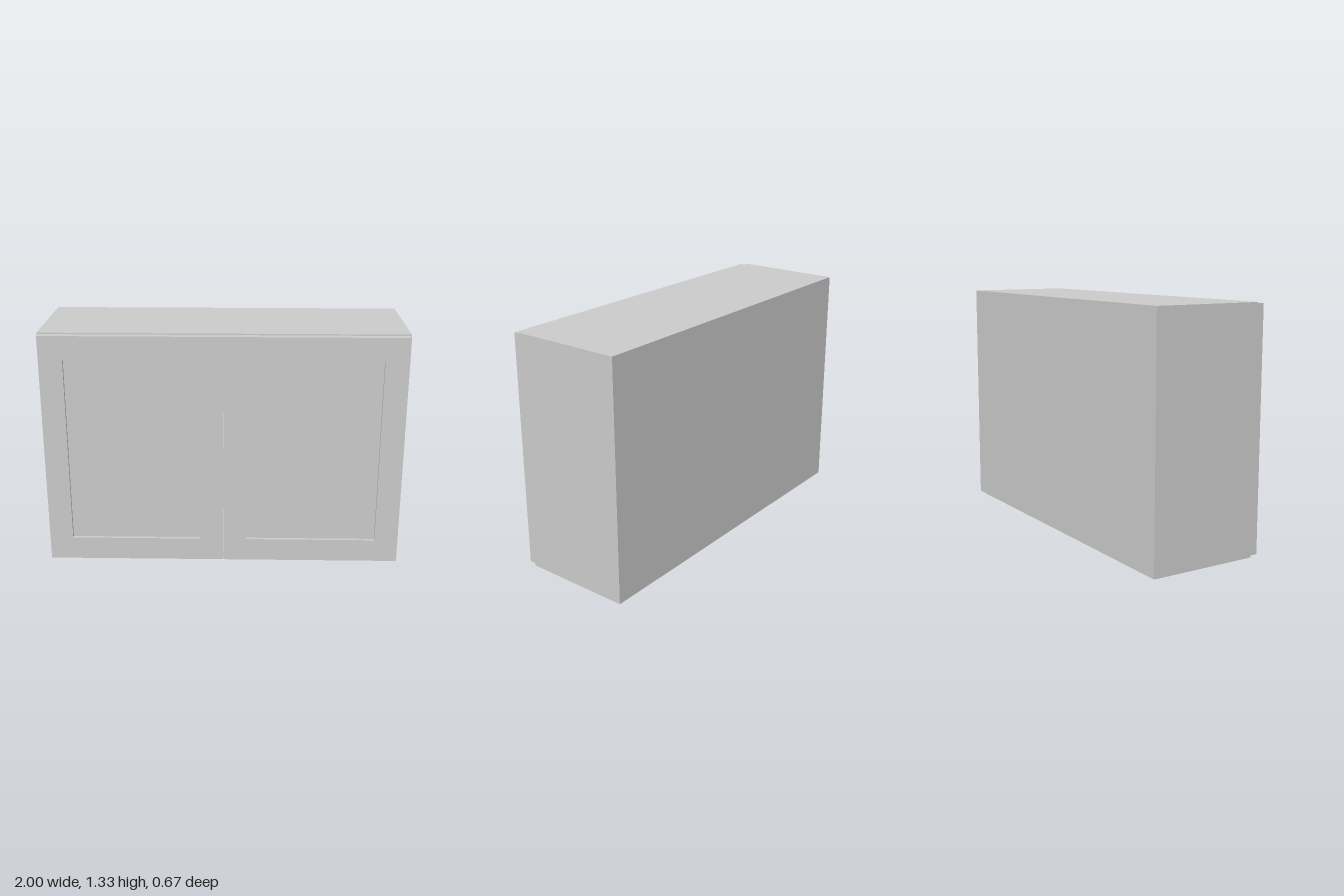
import * as THREE from 'three';

const W = 2, H = 1.333, T = 0.037;      // cabinet size and board thickness
const BACK = -0.333, BODY_FRONT = 0.288, DOOR_BACK = 0.291, FRONT = 0.333;

const material = new THREE.MeshStandardMaterial({ color: 0xcccccc });

// Board given by its lower and upper corner
function board(name, [x0, y0, z0], [x1, y1, z1]) {
  const mesh = new THREE.Mesh(new THREE.BoxGeometry(x1 - x0, y1 - y0, z1 - z0), material);
  mesh.position.set((x0 + x1) / 2, (y0 + y1) / 2, (z0 + z1) / 2);
  mesh.name = name;
  return mesh;
}

function rectangle(Type, x0, y0, x1, y1) {
  return new Type([[x0, y0], [x1, y0], [x1, y1], [x0, y1]].map(([x, y]) => new THREE.Vector2(x, y)));
}

// Door: a frame around a recessed flat panel
function door(name, mirror) {
  const group = new THREE.Group();
  group.name = name;
  const [x0, x1] = mirror ? [-0.993, -0.002] : [0.002, 0.993];
  const y0 = 0.008, y1 = 1.326, rail = 0.131, recess = 0.018;

  const outline = rectangle(THREE.Shape, x0, y0, x1, y1);
  outline.holes.push(rectangle(THREE.Path, x0 + rail, y0 + rail, x1 - rail, y1 - rail));
  const frame = new THREE.Mesh(
    new THREE.ExtrudeGeometry(outline, { depth: FRONT - DOOR_BACK, bevelEnabled: false }), material);
  frame.position.z = DOOR_BACK;
  frame.name = 'doorFrame';

  const panel = board('doorPanel', [x0 + rail, y0 + rail, DOOR_BACK + 0.008],
    [x1 - rail, y1 - rail, FRONT - recess]);
  group.add(frame, panel);
  return group;
}

export function createModel() {
  const model = new THREE.Group();
  model.name = 'wallCabinet';
  const inner = W / 2 - T;

  // Carcass
  model.add(
    board('leftSide', [inner, 0, BACK], [W / 2, H, BODY_FRONT]),
    board('rightSide', [-W / 2, 0, BACK], [-inner, H, BODY_FRONT]),
    board('bottom', [-inner, 0, BACK], [inner, T, BODY_FRONT]),
    board('top', [-inner, H - T, BACK], [inner, H, BODY_FRONT]),
    board('backPanel', [-inner, T, BACK], [inner, H - T, BACK + T]),
    board('shelf', [-inner, 0.648, BACK + T], [inner, 0.685, BODY_FRONT]),
  );

  // Pair of doors
  model.add(door('leftDoor', false), door('rightDoor', true));
  return model;
}
